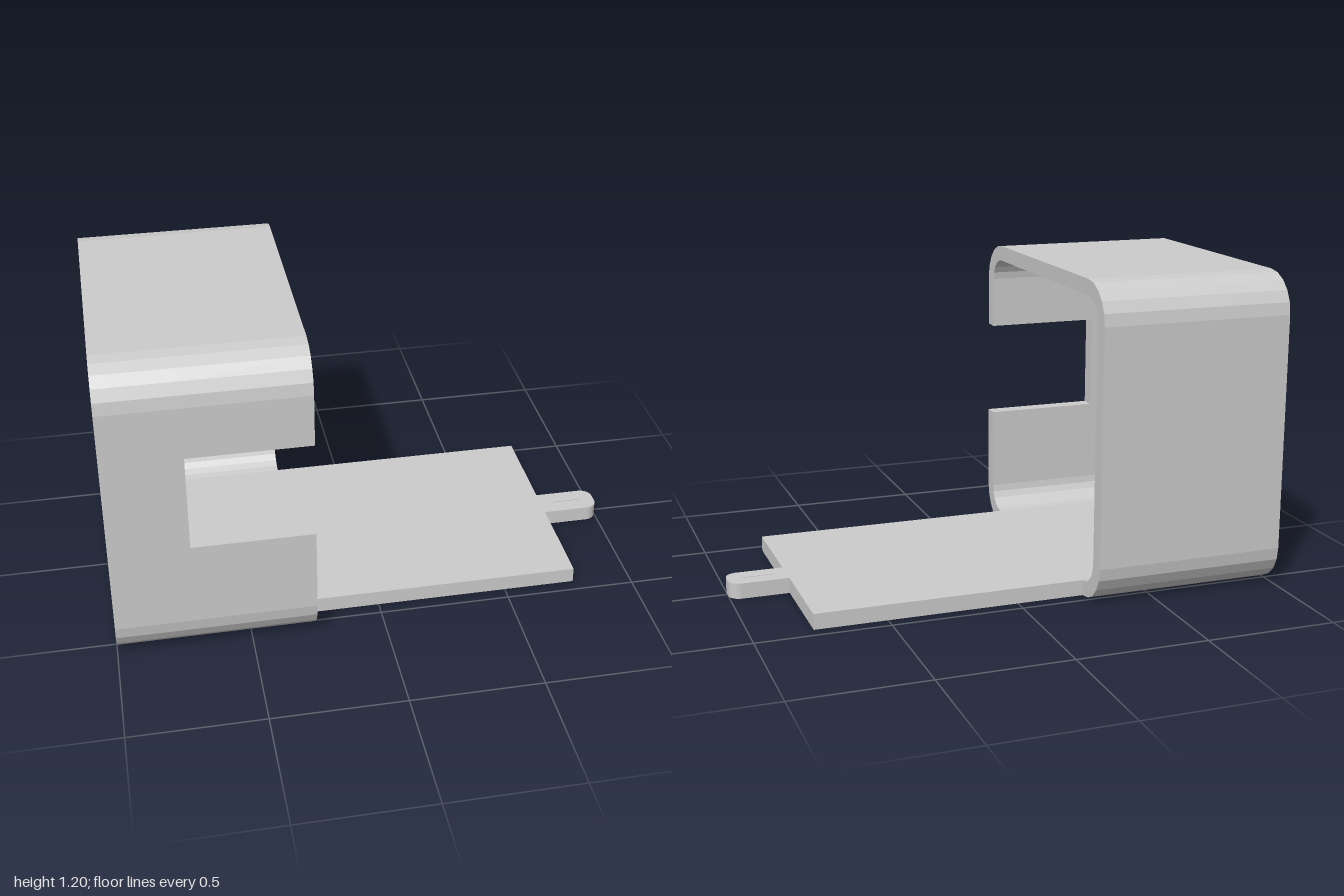
import * as THREE from 'three';

const HALF = 0.6, WALL = 0.06, RADIUS = 0.15, SEGMENTS = 5;
const X_BACK = -1, X_NOTCH = -0.71, X_RIM = -0.26;
const NOTCH_LOW = 0.475, NOTCH_HIGH = 0.85;

const material = new THREE.MeshStandardMaterial({ color: 0xcccccc, flatShading: true });

// Rounded square, counterclockwise from the upper end of the lower left corner
function roundedSquare(half, r) {
  const points = [];
  [[-1, -1], [1, -1], [1, 1], [-1, 1]].forEach(([sx, sy], corner) => {
    for (let i = 0; i <= SEGMENTS; i++) {
      const a = Math.PI + (corner + i / SEGMENTS) * Math.PI / 2;
      points.push(new THREE.Vector2(
        sx * (half - r) + r * Math.cos(a),
        HALF + sy * (half - r) + r * Math.sin(a)));
    }
  });
  return points;
}

// Extrudes a cross-section along x (shape x becomes -z), keeping only the wanted end caps
function extrudeX(shape, x0, x1, startCap, endCap) {
  const geometry = new THREE.ExtrudeGeometry(shape, { depth: x1 - x0, bevelEnabled: false });
  const p = geometry.attributes.position, n = geometry.attributes.normal;
  const kept = [];
  for (let i = 0; i < p.count; i += 3) {
    const nz = n.getZ(i);
    if ((nz < -0.9 && !startCap) || (nz > 0.9 && !endCap)) continue;
    for (let j = i; j < i + 3; j++) kept.push(p.getX(j), p.getY(j), p.getZ(j));
  }
  const result = new THREE.BufferGeometry();
  result.setAttribute('position', new THREE.Float32BufferAttribute(kept, 3));
  result.computeVertexNormals();
  return result.rotateY(Math.PI / 2).translate(x0, 0, 0);
}

export function createModel() {
  const model = new THREE.Group();
  const add = (name, geometry) => {
    const mesh = new THREE.Mesh(geometry, material);
    mesh.name = name;
    model.add(mesh);
  };

  const outer = roundedSquare(HALF, RADIUS);
  const inner = roundedSquare(HALF - WALL, RADIUS - WALL);

  // Closed end of the box: outer plate and its inside face
  add('endWall', extrudeX(new THREE.Shape(outer), X_BACK, X_BACK + WALL, true, false));
  add('endWallInside', new THREE.ShapeGeometry(new THREE.Shape(inner))
    .rotateY(Math.PI / 2).translate(X_BACK + WALL, 0, 0));

  // Unbroken part of the walls
  const ring = new THREE.Shape(outer);
  ring.holes.push(new THREE.Path(inner));
  add('closedWalls', extrudeX(ring, X_BACK + WALL, X_NOTCH, false, false));

  // Part of the walls with the notch in the front side
  const notched = new THREE.Shape([
    new THREE.Vector2(-HALF, NOTCH_LOW), ...outer, new THREE.Vector2(-HALF, NOTCH_HIGH),
    new THREE.Vector2(-HALF + WALL, NOTCH_HIGH), ...[...inner].reverse(),
    new THREE.Vector2(-HALF + WALL, NOTCH_LOW),
  ]);
  add('notchedWalls', extrudeX(notched, X_NOTCH, X_RIM, false, true));

  // End face of the notch
  add('notchEnd', new THREE.PlaneGeometry(WALL, NOTCH_HIGH - NOTCH_LOW)
    .rotateY(Math.PI / 2)
    .translate(X_NOTCH, (NOTCH_LOW + NOTCH_HIGH) / 2, HALF - WALL / 2));

  // Flap continuing the floor, with a round-cornered, slitted tab
  const w = 0.45, xf = 0.775, t = 0.062, r = 0.045;
  const flap = new THREE.Shape();
  flap.moveTo(X_RIM, -w);
  flap.lineTo(xf, -w);
  flap.lineTo(xf, -t);
  flap.lineTo(1 - r, -t);
  flap.absarc(1 - r, -t + r, r, -Math.PI / 2, 0);
  flap.absarc(1 - r, t - r, r, 0, Math.PI / 2);
  flap.lineTo(xf, t);
  flap.lineTo(xf, w);
  flap.lineTo(X_RIM, w);
  flap.closePath();
  const slit = new THREE.Path();
  slit.moveTo(0.82, -0.002);
  slit.lineTo(0.82, 0.002);
  slit.lineTo(0.94, 0.002);
  slit.lineTo(0.94, -0.002);
  slit.closePath();
  flap.holes.push(slit);
  add('flap', new THREE.ExtrudeGeometry(flap, { depth: WALL, bevelEnabled: false, curveSegments: SEGMENTS })
    .rotateX(-Math.PI / 2));

  return model;
}
